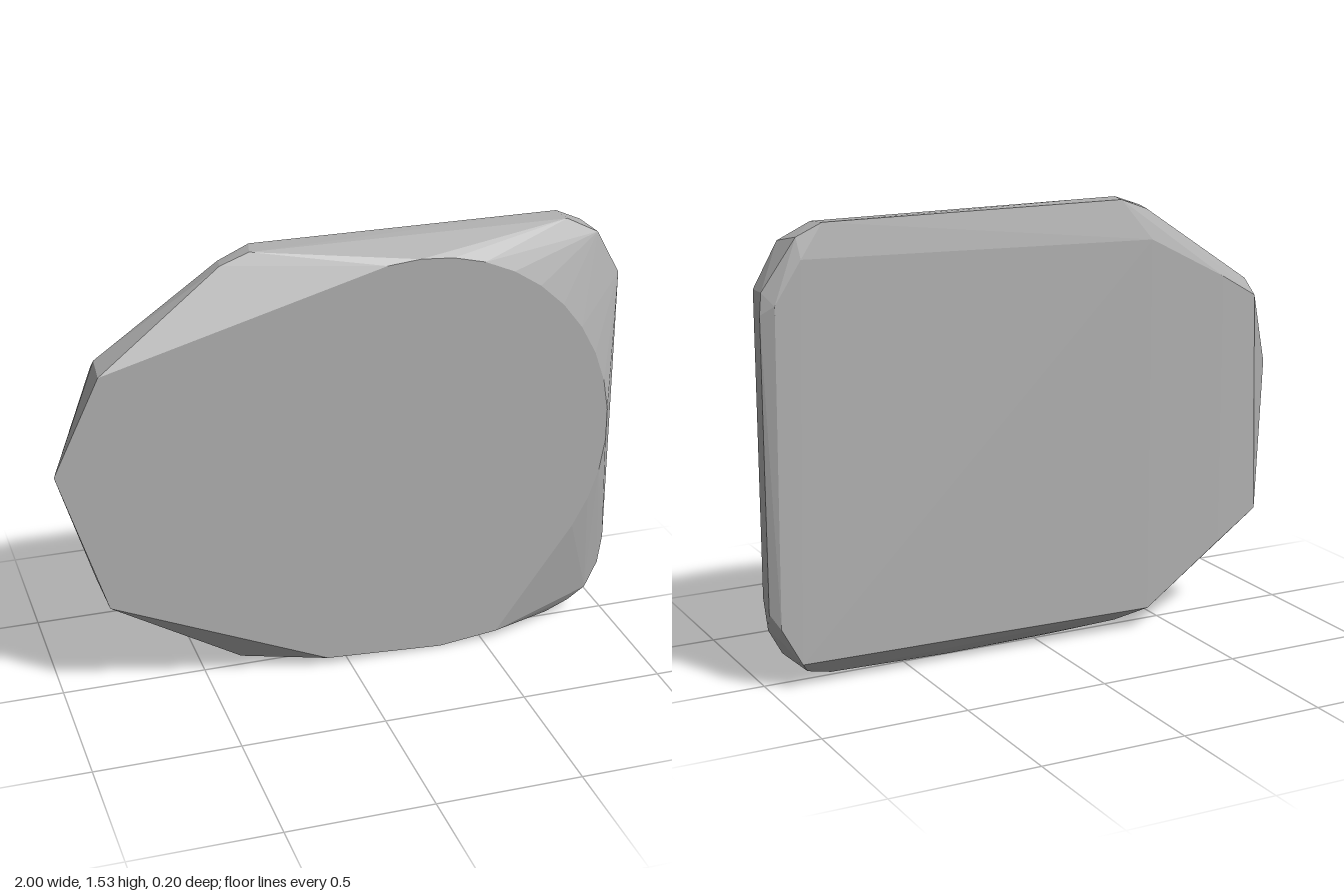
import * as THREE from 'three';
import { ConvexGeometry } from 'three/addons/geometries/ConvexGeometry.js';

export function createModel() {
  const group = new THREE.Group();
  const stone = new THREE.MeshStandardMaterial({ color: 0xb0b0b0, flatShading: true });
  stone.name = 'stone grey';
  const points = [];
  const add = (list) => list.forEach(([x, y, z]) => points.push(new THREE.Vector3(x, y, z)));

  // Flat front face: pointed side and bottom edge
  add([
    [-1, 0.87, 0.1], [-0.84, 0.36, 0.1], [-0.84, 1.2, 0.1],
    [-0.08, 0.03, 0.1], [0.34, 0.005, 0.1], [0.55, 0.03, 0.1],
  ]);
  // Flat front face: rounded side
  for (let i = 0; i <= 14; i++) {
    const a = THREE.MathUtils.lerp(-0.58, 1.75, i / 14);
    add([[0.25 + 0.69 * Math.cos(a), 0.79 + 0.69 * Math.sin(a), 0.1]]);
  }
  // Widest outline, half way through the thickness
  add([
    [-0.41, 1.495, 0.005], [-0.31, 1.53, 0], [0.8, 1.525, -0.01], [0.91, 1.47, 0],
    [0.99, 1.32, 0.01], [0.99, 0.3, 0.01], [0.98, 0.19, 0], [0.93, 0.1, 0.01],
    [0.87, 0.05, 0], [0.78, 0.02, 0.01], [0.34, 0, 0], [-0.05, 0.005, 0], [-0.37, 0.04, 0.01],
  ]);
  // Bevel behind the outline
  add([
    [-0.83, 1.21, -0.02], [-0.4, 1.49, -0.06], [-0.29, 1.53, -0.08], [0.79, 1.53, -0.085],
    [0.88, 1.49, -0.085], [0.99, 1.32, -0.06], [1, 1.25, -0.07], [1, 0.27, -0.07],
    [0.97, 0.18, -0.07], [0.87, 0.05, -0.06], [0.78, 0.025, -0.04], [-0.3, 0.03, -0.04],
  ]);
  // Back face
  add([
    [-0.83, 1.16, -0.085], [-0.85, 0.38, -0.085], [-0.69, 1.24, -0.098], [-0.69, 0.28, -0.098],
    [-0.4, 1.39, -0.103], [-0.4, 0.078, -0.103], [0.87, 1.42, -0.1], [0.96, 1.28, -0.098],
    [0.97, 0.22, -0.098], [0.9, 0.09, -0.1],
  ]);

  const slab = new THREE.Mesh(new ConvexGeometry(points), stone);
  slab.name = 'stoneSlab';
  group.add(slab);
  return group;
}
